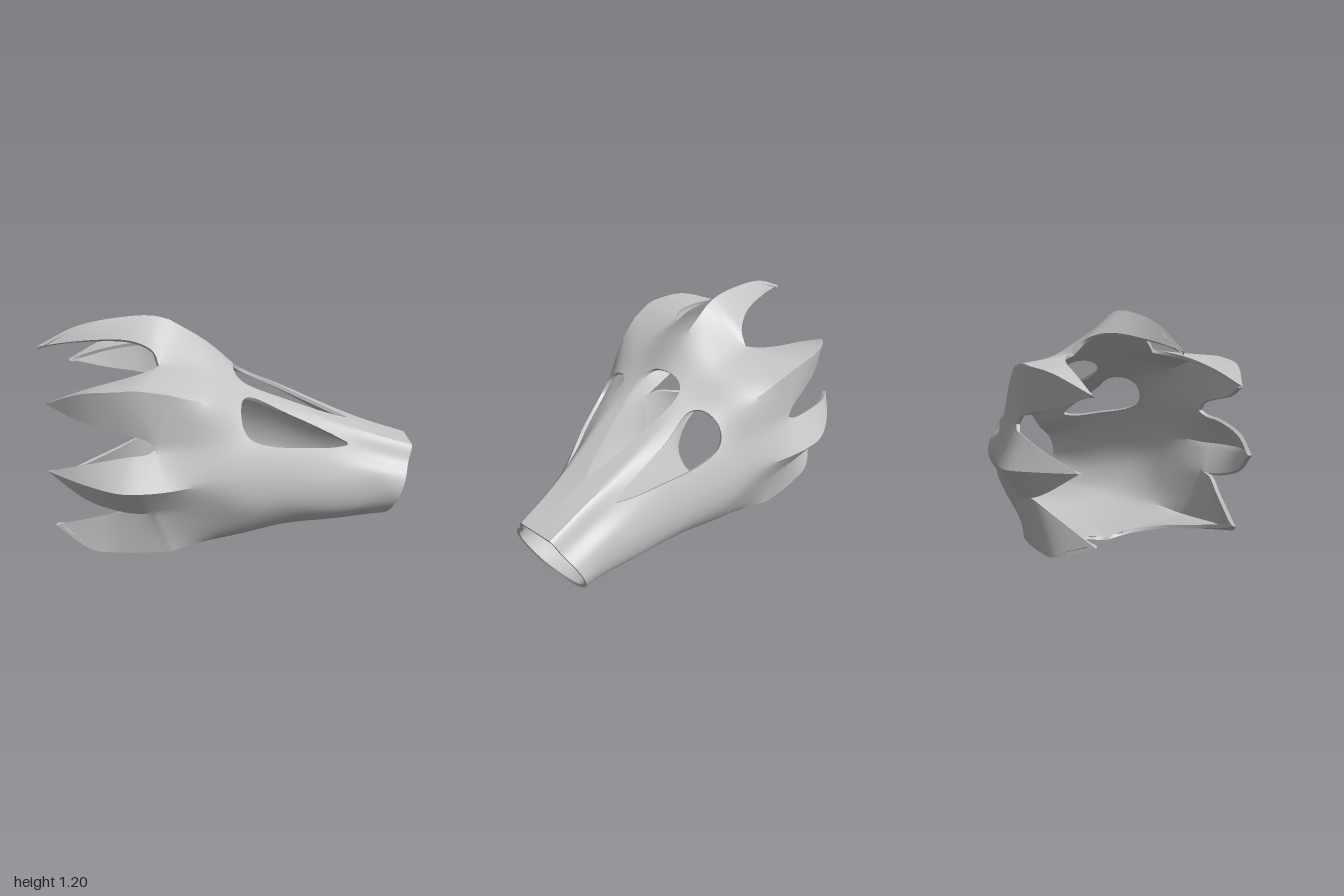
import * as THREE from 'three';
import { mergeVertices, toCreasedNormals } from 'three/addons/utils/BufferGeometryUtils.js';

const V = (a) => new THREE.Vector3(...a);
const THICK = 0.018, N = 8, ROWS = 96, SPIKE_ROWS = 20;

// Half cross-sections [y, z] from the top ridge round the +z side to the belly
const SECTIONS = [
  [0.78, [[0.575, 0], [0.57, 0.11], [0.47, 0.165], [0.4, 0.225], [0.3, 0.245], [0.2, 0.225], [0.11, 0.145], [0.08, 0.08], [0.065, 0]]],
  [0.6, [[0.65, 0], [0.638, 0.13], [0.54, 0.2], [0.45, 0.26], [0.33, 0.29], [0.2, 0.265], [0.1, 0.17], [0.07, 0.085], [0.06, 0]]],
  [0.3, [[0.785, 0], [0.768, 0.16], [0.7, 0.27], [0.6, 0.345], [0.42, 0.4], [0.27, 0.38], [0.12, 0.26], [0.08, 0.13], [0.065, 0]]],
  [0.07, [[0.905, 0], [0.865, 0.17], [0.79, 0.34], [0.65, 0.43], [0.45, 0.485], [0.29, 0.46], [0.11, 0.34], [0.055, 0.18], [0.035, 0]]],
  [-0.12, [[1.07, 0], [0.97, 0.22], [0.875, 0.455], [0.67, 0.5], [0.48, 0.545], [0.32, 0.5], [0.1, 0.4], [0.04, 0.2], [0.015, 0]]],
].map(([x, pts]) => pts.map(([y, z]) => V([x, y, z])));

// Slanted open muzzle and the scalloped rim the spikes grow from
const MUZZLE = [[0.5, 0], [0.5, 0.1], [0.42, 0.15], [0.35, 0.212], [0.27, 0.235], [0.19, 0.21], [0.115, 0.14], [0.088, 0.075], [0.08, 0]]
  .map(([y, z]) => V([0.86 + (y - 0.08) / 3, y, z]));
const RIM = [[-0.3, 1.18, 0], [-0.35, 1.0, 0.23], [-0.3, 0.94, 0.51], [-0.36, 0.67, 0.525], [-0.3, 0.48, 0.605],
  [-0.38, 0.335, 0.535], [-0.3, 0.08, 0.47], [-0.29, 0.04, 0.235], [-0.28, 0, 0]].map(V);
const STATIONS = [MUZZLE, ...SECTIONS, RIM];

// Spike ridges and edges beyond the rim; [from, to] are rim columns
const TOP = [[-0.38, 1.2, 0], [-0.5, 1.2, 0], [-0.78, 1.15, 0], [-1, 1.04, 0]];
const UPPER = [[-0.45, 0.967, 0.53], [-0.55, 0.962, 0.528], [-0.71, 0.943, 0.49], [-0.9, 0.86, 0.385]];
const MID = [[-0.4, 0.485, 0.635], [-0.53, 0.492, 0.645], [-0.7, 0.51, 0.58], [-0.9, 0.53, 0.45]];
const LOW = [[-0.42, 0.085, 0.488], [-0.55, 0.092, 0.495], [-0.7, 0.105, 0.485], [-0.9, 0.19, 0.37]];
const SPIKES = [
  [0, 1, TOP, [[-0.38, 1.06, 0.18], [-0.5, 1.1, 0.12], [-0.78, 1.08, 0.045], TOP[3]]],
  [1, 2, [[-0.39, 0.99, 0.275], [-0.5, 0.97, 0.33], [-0.7, 0.925, 0.365], UPPER[3]], UPPER],
  [2, 3, UPPER, [[-0.4, 0.71, 0.52], [-0.5, 0.742, 0.51], [-0.7, 0.787, 0.47], UPPER[3]]],
  [3, 4, [[-0.4, 0.65, 0.54], [-0.5, 0.64, 0.55], [-0.7, 0.598, 0.53], MID[3]], MID],
  [4, 5, MID, [[-0.43, 0.333, 0.54], [-0.52, 0.345, 0.545], [-0.7, 0.405, 0.53], MID[3]]],
  [5, 6, [[-0.43, 0.342, 0.525], [-0.5, 0.337, 0.51], [-0.64, 0.285, 0.46], LOW[3]], LOW],
  [6, 8, LOW, [[-0.31, 0.03, 0.14], [-0.4, 0.06, 0.26], [-0.62, 0.11, 0.36], LOW[3]]],
];

// Openings: smooth closed outlines, top in (x, z) and side in (x, y)
const outline = (pts) => new THREE.CatmullRomCurve3(pts.map(([a, b]) => V([a, b, 0])), true).getPoints(90).slice(0, -1);
const halfTop = [[0.037, 0.09], [0.07, 0.122], [0.15, 0.128], [0.4, 0.085], [0.6, 0.03]];
const TOP_HOLE = outline([[0.03, 0], ...halfTop, [0.655, 0], ...halfTop.map(([x, z]) => [x, -z]).reverse()]);
const SIDE_HOLE = outline([[0.065, 0.825], [0.1, 0.828], [0.35, 0.71], [0.6, 0.57], [0.64, 0.542], [0.57, 0.54],
  [0.4, 0.575], [0.2, 0.62], [0.1, 0.67], [0.062, 0.74]]);

function signedDistance(poly, a, b) {
  let best = Infinity, inside = false;
  poly.forEach((p, i) => {
    const q = poly[(i + 1) % poly.length], dx = q.x - p.x, dy = q.y - p.y;
    const t = THREE.MathUtils.clamp(((a - p.x) * dx + (b - p.y) * dy) / (dx * dx + dy * dy), 0, 1);
    best = Math.min(best, Math.hypot(a - p.x - t * dx, b - p.y - t * dy));
    if ((p.y > b) !== (q.y > b) && a < p.x + ((b - p.y) / dy) * dx) inside = !inside;
  });
  return inside ? -best : best;
}
const solidness = (p) => (p.y < 0.45 || p.x < -0.1 ? 1 :
  Math.min(signedDistance(TOP_HOLE, p.x, p.z), signedDistance(SIDE_HOLE, p.x, p.y)));

// Snout body: columns run along the stations, each row is rounded across them
function bodyRows() {
  const columns = RIM.map((_, c) => new THREE.CatmullRomCurve3(STATIONS.map((s) => s[c])));
  const flip = (p) => V([p.x, p.y, -p.z]);
  return Array.from({ length: ROWS + 1 }, (_, r) => {
    const t = r / ROWS;
    const pts = r === ROWS ? RIM : columns.map((c) => c.getPoint(t));
    const round = new THREE.CatmullRomCurve3([flip(pts[1]), ...pts, flip(pts[7])]);
    const back = THREE.MathUtils.smoothstep(t, 0.72, 1);
    const front = 1 - THREE.MathUtils.smoothstep(t, 0.45, 0.7);
    return Array.from({ length: 8 * N + 1 }, (_, i) => {
      const k = Math.min(7, Math.floor(i / N));
      const straight = pts[k].clone().lerp(pts[k + 1], i / N - k);
      const sharp = k === 0 ? Math.max(back, front) : back;
      const p = round.getPoint((i / N + 1) / 10).lerp(straight, sharp);
      if (i === 0 || i === 8 * N) p.z = 0;
      return p;
    });
  });
}

// Half a spike: rows shrink from the rim to the tip
function spikeRows(rim, [from, to, first, second]) {
  const start = rim.slice(from * N, to * N + 1), last = start.length - 1;
  const a = new THREE.CatmullRomCurve3([start[0], ...first.map(V)]);
  const b = new THREE.CatmullRomCurve3([start[last], ...second.map(V)]);
  const rows = [start];
  for (let r = 1; r <= SPIKE_ROWS; r++) {
    const p = a.getPoint(r / SPIKE_ROWS), q = b.getPoint(r / SPIKE_ROWS);
    rows.push(start.map((_, i) => p.clone().lerp(q, i / last)));
  }
  return rows;
}

// Adds a grid and its mirror image, trimming away the openings
function addGrid(rows, out) {
  const solid = rows.map((row) => row.map(solidness));
  const triangle = (...corners) => {
    const poly = [];
    corners.forEach(([p, f], i) => {
      const [q, g] = corners[(i + 1) % 3];
      if (f > 0) poly.push(p);
      if ((f > 0) !== (g > 0)) poly.push(f > 0 ? p.clone().lerp(q, f / (f - g)) : q.clone().lerp(p, g / (g - f)));
    });
    for (let i = 1; i + 1 < poly.length; i++) {
      const [a, b, c] = [poly[0], poly[i], poly[i + 1]];
      for (const p of [a, b, c]) out.push(p.x, p.y, p.z);
      for (const p of [a, c, b]) out.push(p.x, p.y, -p.z);
    }
  };
  for (let r = 0; r + 1 < rows.length; r++) {
    for (let i = 0; i + 1 < rows[r].length; i++) {
      const at = (u, s) => [rows[u][s], solid[u][s]];
      triangle(at(r, i), at(r + 1, i), at(r + 1, i + 1));
      triangle(at(r, i), at(r + 1, i + 1), at(r, i + 1));
    }
  }
}

// Gives the skin an inner face and a wall along every open edge
function thicken(positions) {
  const raw = new THREE.BufferGeometry();
  raw.setAttribute('position', new THREE.Float32BufferAttribute(positions, 3));
  const skin = mergeVertices(raw, 1e-4);
  const old = skin.index.array, tris = [];
  for (let i = 0; i < old.length; i += 3) {
    const [a, b, c] = [old[i], old[i + 1], old[i + 2]];
    if (a !== b && b !== c && c !== a) tris.push([a, b, c]);
  }
  skin.setIndex(tris.flat());
  skin.computeVertexNormals();
  const pos = skin.attributes.position.array, nor = skin.attributes.normal.array, n = pos.length / 3;
  const all = [...pos, ...Array.from(pos, (v, i) => v - THICK * nor[i])];
  const edges = new Set(), index = [];
  const key = (a, b) => a * n + b;
  for (const [a, b, c] of tris) {
    edges.add(key(a, b)).add(key(b, c)).add(key(c, a));
    index.push(a, b, c, a + n, c + n, b + n);
  }
  for (const [a, b, c] of tris) {
    for (const [p, q] of [[a, b], [b, c], [c, a]]) {
      if (!edges.has(key(q, p))) index.push(q, p, p + n, q, p + n, q + n);
    }
  }
  const shell = new THREE.BufferGeometry();
  shell.setAttribute('position', new THREE.Float32BufferAttribute(all, 3));
  shell.setIndex(index);
  return toCreasedNormals(shell, 0.55);
}

export function createModel() {
  const grey = new THREE.MeshStandardMaterial({ color: 0xc4c4c4 });
  grey.name = 'light grey';
  const positions = [];
  const body = bodyRows();
  addGrid(body, positions);
  for (const spike of SPIKES) addGrid(spikeRows(body[ROWS], spike), positions);
  const shell = new THREE.Mesh(thicken(positions), grey);
  shell.name = 'spikedSnoutShell';
  const group = new THREE.Group();
  group.name = 'spikedMask';
  group.add(shell);
  return group;
}
